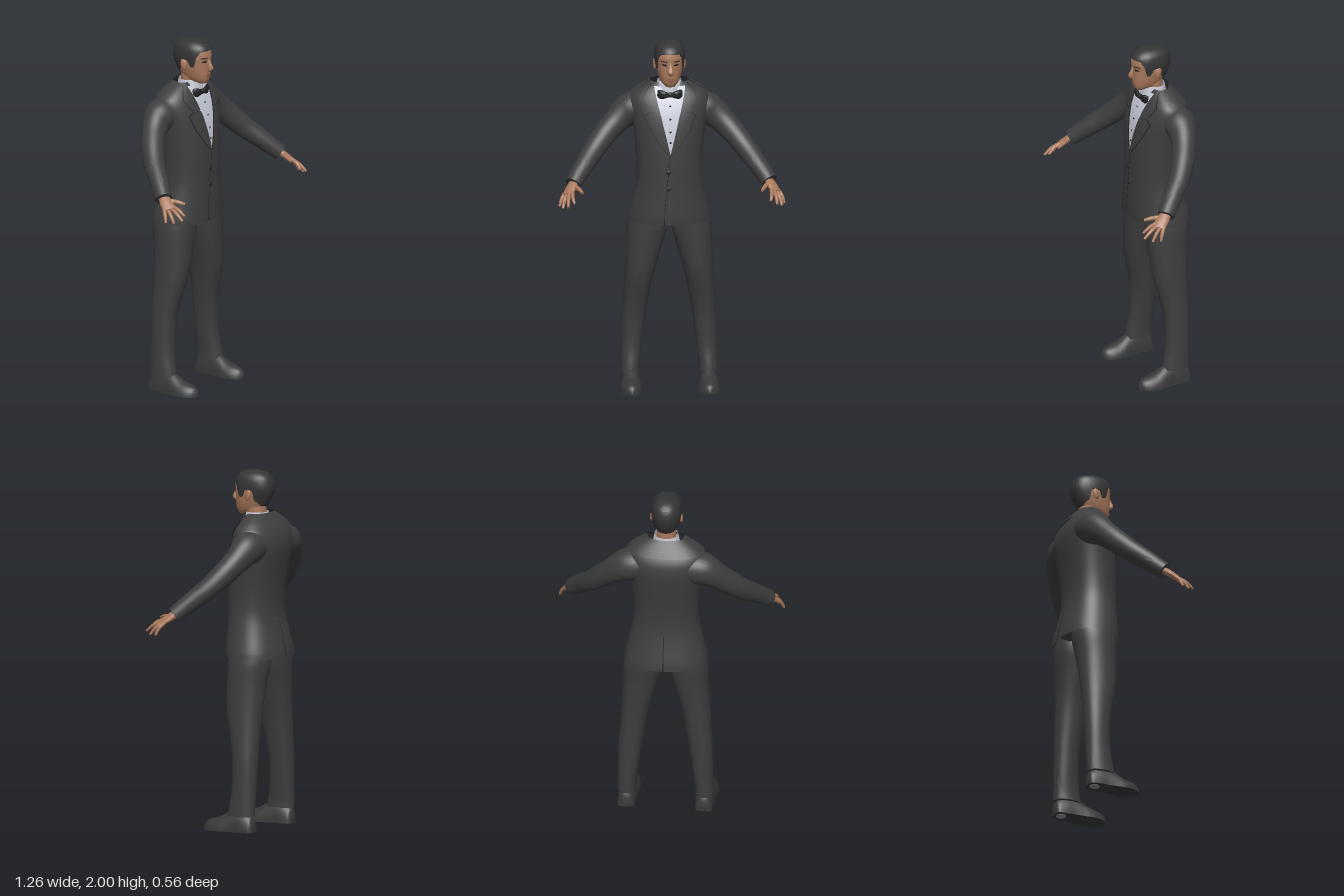
import * as THREE from 'three';
import { toCreasedNormals } from 'three/addons/utils/BufferGeometryUtils.js';

const V = (x, y, z) => new THREE.Vector3(x, y, z);
const mat = (name, color) => {
  const m = new THREE.MeshStandardMaterial({ color, side: THREE.DoubleSide });
  m.name = name;
  return m;
};
const M = {
  suit: mat('charcoal suit', 0x3e3e3e), shirt: mat('white shirt', 0xc6cad6), skin: mat('skin', 0xa9795c),
  hair: mat('dark hair', 0x343434), black: mat('black trim', 0x222222), lips: mat('lips', 0x875645),
  shoe: mat('shoe leather', 0x383838), heel: mat('heel grey', 0x8a8a8a),
};

function add(parent, name, geo, material) {
  const mesh = new THREE.Mesh(geo, material);
  mesh.name = name;
  parent.add(mesh);
  return mesh;
}

// Surface from fn(i, j): i runs around (nu steps), j runs along (nv steps)
function grid(fn, nu, nv, closed) {
  const pos = [], idx = [], w = closed ? nu : nu + 1;
  for (let j = 0; j <= nv; j++) for (let i = 0; i < w; i++) pos.push(...fn(i / nu, j).toArray());
  for (let j = 0; j < nv; j++) for (let i = 0; i < nu; i++) {
    const a = j * w + i, b = j * w + (i + 1) % w;
    idx.push(a, b, b + w, a, b + w, a + w);
  }
  const g = new THREE.BufferGeometry();
  g.setAttribute('position', new THREE.Float32BufferAttribute(pos, 3));
  g.setIndex(idx);
  return toCreasedNormals(g, 0.9);
}

// Smooth lookup in a table of rows [y, centreX, radiusX, zFront, zBack]
function at(rows, y) {
  let i = 0;
  while (i < rows.length - 2 && y > rows[i + 1][0]) i++;
  const p = rows[Math.max(0, i - 1)], a = rows[i], b = rows[i + 1], q = rows[Math.min(rows.length - 1, i + 2)];
  const h = b[0] - a[0], t = THREE.MathUtils.clamp((y - a[0]) / h, 0, 1), t2 = t * t, t3 = t2 * t;
  return a.map((v, k) => (2 * t3 - 3 * t2 + 1) * v + (3 * t2 - 2 * t3) * b[k]
    + (t3 - 2 * t2 + t) * h * (b[k] - p[k]) / (b[0] - p[0]) + (t3 - t2) * h * (q[k] - v) / (q[0] - a[0]));
}

function ringPoint(rows, y, th, n, off = 0) {
  const [, cx, rx, zf, zb] = at(rows, y), c = Math.cos(th), s = Math.sin(th);
  const f = v => Math.sign(v) * Math.abs(v) ** (2 / n);
  return V(cx + (rx + off) * f(c), y, (zf + zb) / 2 + ((zf - zb) / 2 + off) * f(s));
}

// Body skin through horizontal cross-sections, optionally capped
function loft(rows, { n = 2.2, seg = 48, sub = 4, cap = true, off = 0, from = 0, to = Math.PI * 2 } = {}) {
  const ys = [];
  rows.forEach((r, i) => {
    for (let k = 0; k < sub && i < rows.length - 1; k++) ys.push(r[0] + (rows[i + 1][0] - r[0]) * k / sub);
  });
  ys.push(rows.at(-1)[0]);
  const e = cap ? 1 : 0, last = ys.length - 1 + 2 * e;
  return grid((u, j) => {
    const y = ys[THREE.MathUtils.clamp(j - e, 0, ys.length - 1)];
    if (cap && (j === 0 || j === last)) { const r = at(rows, y); return V(r[1], y, (r[3] + r[4]) / 2); }
    return ringPoint(rows, y, from + (to - from) * u, n, off);
  }, seg, last, to - from > 6.28);
}

// Capped tube along sections [x, y, z, a, b]; a lies along the side vector
function sweep(secs, side, { seg = 24, sub = 4, floor = -1 } = {}) {
  const path = new THREE.CatmullRomCurve3(secs.map(s => V(s[0], s[1], s[2])), false, 'catmullrom');
  const size = new THREE.CatmullRomCurve3(secs.map(s => V(s[3], s[4], 0)), false, 'catmullrom');
  const N = (secs.length - 1) * sub;
  return grid((u, j) => {
    const k = THREE.MathUtils.clamp(j - 1, 0, N) / N, c = path.getPoint(k);
    if (j > 0 && j < N + 2) {
      const t = path.getTangent(k), r = size.getPoint(k);
      const a = side.clone().addScaledVector(t, -side.dot(t)).normalize(), b = t.clone().cross(a);
      c.addScaledVector(a, r.x * Math.cos(u * Math.PI * 2)).addScaledVector(b, r.y * Math.sin(u * Math.PI * 2));
    }
    c.y = Math.max(c.y, floor);
    return c;
  }, seg, N + 2, true);
}

// Thin panel laid on a loft: outline rows [y, xLeft, xRight], dir 1 = front, -1 = back
function panel(rows, n, outline, off, dir = 1) {
  const sub = 5, last = (outline.length - 1) * sub;
  return grid((u, j) => {
    const i = Math.min(Math.floor(j / sub), outline.length - 2), t = j / sub - i;
    const [y, x0, x1] = outline[i].map((v, k) => v + (outline[i + 1][k] - v) * t);
    const x = x0 + (x1 - x0) * u, [, cx, rx, zf, zb] = at(rows, y);
    const k = Math.min(1, Math.abs(x - cx) / rx);
    return V(x, y, (zf + zb) / 2 + dir * ((zf - zb) / 2 * (1 - k ** n) ** (1 / n) + off));
  }, 8, last, false);
}

const TORSO = [
  [0.965, 0, 0.232, 0.05, -0.278], [1.0, 0, 0.227, 0.052, -0.274], [1.1, 0, 0.203, 0.051, -0.25],
  [1.2, 0, 0.184, 0.05, -0.23], [1.3, 0, 0.182, 0.05, -0.23], [1.4, 0, 0.189, 0.046, -0.24],
  [1.5, 0, 0.2, 0.037, -0.256], [1.58, 0, 0.215, 0.022, -0.264], [1.64, 0, 0.222, 0.003, -0.255],
  [1.68, 0, 0.21, -0.014, -0.236], [1.71, 0, 0.178, -0.03, -0.212], [1.735, 0, 0.14, -0.045, -0.188],
  [1.758, 0, 0.1, -0.06, -0.166]];
const HEAD = [
  [1.752, 0, 0.026, 0.014, -0.03], [1.77, 0, 0.046, 0.026, -0.115], [1.8, 0, 0.06, 0.031, -0.145],
  [1.84, 0, 0.07, 0.033, -0.168], [1.88, 0, 0.076, 0.034, -0.184], [1.91, 0, 0.078, 0.036, -0.187],
  [1.94, 0, 0.075, 0.031, -0.181], [1.96, 0, 0.068, 0.022, -0.172], [1.98, 0, 0.05, -0.003, -0.147],
  [1.99, 0, 0.031, -0.029, -0.121], [1.994, 0, 0.016, -0.053, -0.097]];
const LEG = [
  [0.09, 0.217, 0.053, -0.038, -0.2], [0.13, 0.216, 0.053, -0.044, -0.2], [0.23, 0.209, 0.057, -0.06, -0.202],
  [0.39, 0.197, 0.065, -0.06, -0.205], [0.5, 0.185, 0.07, -0.043, -0.206], [0.655, 0.165, 0.081, -0.008, -0.21],
  [0.82, 0.138, 0.1, 0.003, -0.22], [0.96, 0.117, 0.114, 0.006, -0.234], [1.08, 0.105, 0.09, 0.0, -0.21]];
const TN = 2.3, HN = 2.2;

function makeJacket(root) {
  const jacket = new THREE.Group();
  jacket.name = 'jacket';
  root.add(jacket);
  add(jacket, 'jacketBody', loft(TORSO, { n: TN, seg: 64, cap: false }), M.suit);
  add(jacket, 'jacketCollar', loft(TORSO.slice(-4).map(r => [r[0] + 0.008, ...r.slice(1)]),
    { n: TN, cap: false, off: 0.007, from: Math.PI * 0.95, to: Math.PI * 2.05 }), M.suit);
  add(jacket, 'shirtFront', panel(TORSO, TN, [[1.37, -0.002, 0.002], [1.7, -0.08, 0.08], [1.74, -0.088, 0.088]], 0.003), M.shirt);
  const collar = [[1.612, 0.058, 0.108], [1.63, 0.063, 0.124], [1.68, 0.075, 0.148], [1.72, 0.083, 0.124], [1.752, 0.088, 0.098]];
  const lapel = [[1.365, -0.001, 0.004], [1.42, 0.012, 0.052], [1.5, 0.031, 0.104], [1.585, 0.051, 0.14], [1.606, 0.057, 0.112]];
  for (const s of [-1, 1]) {
    const flip = (o, grow) => o.map(([y, a, b]) => s > 0 ? [y, a, b + grow] : [y, -b - grow, -a]);
    for (const [name, shape] of [['collarLeaf', collar], ['lapel', lapel]]) {
      add(jacket, name, panel(TORSO, TN, flip(shape, 0), 0.009), M.suit);
      add(jacket, name + 'Edge', panel(TORSO, TN, flip(shape, 0.004), 0.005), M.black);
    }
  }
  // Closing edge, back vent, buttons and shirt studs
  add(jacket, 'frontEdge', panel(TORSO, TN, [[0.967, -0.036, -0.032], [1.05, -0.034, -0.03], [1.37, -0.002, 0.002]], 0.002), M.black);
  add(jacket, 'backVent', panel(TORSO, TN, [[0.967, -0.004, 0.004], [1.17, -0.002, 0.002]], 0.002, -1), M.black);
  const dots = [[1.27, -0.012, 0.012, M.black], [1.175, -0.012, 0.012, M.black],
    ...[1.64, 1.57, 1.5, 1.44].map(y => [y, 0, 0.006, M.black])];
  for (const [y, x, r, m] of dots) {
    const b = add(jacket, r > 0.01 ? 'jacketButton' : 'shirtStud', new THREE.SphereGeometry(r, 14, 10), m);
    b.position.set(x, y, at(TORSO, y)[3] + 0.003);
    b.scale.z = 0.4;
  }
}

function makeHead(root) {
  const head = new THREE.Group();
  head.name = 'head';
  root.add(head);
  add(head, 'face', loft(HEAD, { n: HN }), M.skin);
  add(head, 'neck', sweep([[0, 1.7, -0.092, 0.056, 0.056], [0, 1.76, -0.09, 0.054, 0.056], [0, 1.83, -0.085, 0.055, 0.06]], V(1, 0, 0)), M.skin);
  // Hair: shell from a hairline [angle from the front, y] up to the crown
  const line = [[0, 1.945], [38, 1.942], [54, 1.915], [62, 1.855], [74, 1.85], [82, 1.892], [102, 1.892], [114, 1.835], [150, 1.803], [181, 1.798]];
  const hairline = d => {
    const i = line.findIndex(p => p[0] > d), [a, ya] = line[i - 1], [b, yb] = line[i];
    return ya + (yb - ya) * (d - a) / (b - a);
  };
  const H = 22;
  add(head, 'hair', grid((u, j) => {
    if (j === H + 2) return V(0, 2, -0.075);
    const deg = u * 360, low = hairline(Math.min(deg, 360 - deg)), t = Math.max(0, j - 1) / H;
    const y = 1.994 - (1.994 - low) * (1 - t) ** 1.6;
    const p = ringPoint(HEAD, y, Math.PI / 2 + u * Math.PI * 2, HN, j ? 0.007 : -0.003);
    p.y += 0.005 * t;
    return p;
  }, 96, H + 2, true), M.hair);
  add(head, 'nose', sweep([[0, 1.9, 0.026, 0.008, 0.008], [0, 1.868, 0.038, 0.01, 0.01],
    [0, 1.843, 0.047, 0.016, 0.013], [0, 1.828, 0.034, 0.013, 0.009]], V(1, 0, 0), { seg: 16 }), M.skin);
  add(head, 'upperLip', panel(HEAD, HN, [[1.797, -0.024, 0.024], [1.804, -0.012, 0.012]], 0.004), M.lips);
  add(head, 'lowerLip', panel(HEAD, HN, [[1.785, -0.012, 0.012], [1.795, -0.022, 0.022]], 0.005), M.lips);
  for (const s of [-1, 1]) {
    const span = (a, b) => s > 0 ? [a, b] : [-b, -a];
    add(head, 'eyebrow', panel(HEAD, HN, [[1.9, ...span(0.015, 0.054)], [1.908, ...span(0.02, 0.05)]], 0.003), M.hair);
    add(head, 'eye', panel(HEAD, HN, [[1.878, ...span(0.026, 0.04)], [1.884, ...span(0.018, 0.048)], [1.889, ...span(0.025, 0.042)]], 0.002), M.black);
    const ear = add(head, 'ear', new THREE.SphereGeometry(1, 16, 12), M.skin);
    ear.scale.set(0.01, 0.032, 0.019);
    ear.position.set(s * 0.081, 1.865, -0.08);
    ear.rotation.set(-0.15, s * -0.3, 0);
  }
  // Shirt collar and bow tie
  add(root, 'shirtCollar', loft([[1.69, 0, 0.082, -0.022, -0.168], [1.73, 0, 0.073, -0.026, -0.164], [1.768, 0, 0.066, -0.036, -0.158]],
    { n: 2, cap: false }), M.shirt);
  const bow = new THREE.Group();
  bow.name = 'bowTie';
  bow.position.set(0, 1.7, -0.012);
  root.add(bow);
  add(bow, 'bowKnot', new THREE.SphereGeometry(0.014, 16, 12), M.black).scale.set(0.9, 1.1, 0.9);
  for (const s of [-1, 1]) add(bow, 'bowWing', sweep([[0, 0, 0, 0.01, 0.008], [s * 0.025, 0, 0, 0.019, 0.011],
    [s * 0.05, 0.001, -0.006, 0.027, 0.011], [s * 0.068, 0.002, -0.015, 0.023, 0.006]], V(0, 1, 0)), M.black);
}

// Arm, hand, leg and shoe of the model's left side
function makeLimbs() {
  const g = new THREE.Group();
  add(g, 'sleeve', sweep([[0.12, 1.6, -0.15, 0.085, 0.09], [0.2, 1.585, -0.15, 0.094, 0.092], [0.25, 1.558, -0.144, 0.084, 0.08],
    [0.3, 1.515, -0.125, 0.072, 0.07], [0.36, 1.455, -0.088, 0.066, 0.066], [0.425, 1.38, -0.03, 0.06, 0.06],
    [0.48, 1.315, 0.04, 0.054, 0.054], [0.545, 1.235, 0.12, 0.046, 0.048]], V(0.6, 0.8, 0), { seg: 32 }), M.suit);
  const hand = new THREE.Group();
  hand.name = 'hand';
  g.add(hand);
  const across = V(0.744, -0.248, -0.62);
  add(hand, 'palm', sweep([[0.535, 1.247, 0.108, 0.028, 0.022], [0.558, 1.218, 0.15, 0.036, 0.018], [0.58, 1.19, 0.187, 0.036, 0.012]], across), M.skin);
  const tips = [[0.545, 1.16, 0.265], [0.58, 1.142, 0.277], [0.607, 1.127, 0.238], [0.624, 1.127, 0.195]];
  tips.forEach(([x, y, z], i) => {
    const b = V(0.572, 1.198, 0.176).addScaledVector(across, -0.027 + 0.018 * i);
    add(hand, 'finger', sweep([[b.x, b.y, b.z, 0.011, 0.011], [(b.x + x) / 2 + 0.003, (b.y + y) / 2 + 0.006, (b.z + z) / 2 + 0.003, 0.0105, 0.0105],
      [x, y, z, 0.007, 0.007]], across, { seg: 12 }), M.skin);
  });
  add(hand, 'thumb', sweep([[0.54, 1.228, 0.14, 0.014, 0.014], [0.514, 1.222, 0.195, 0.012, 0.012], [0.498, 1.212, 0.233, 0.008, 0.008]],
    across, { seg: 12 }), M.skin);
  add(g, 'trouserLeg', loft(LEG, { n: 2.2, seg: 40 }), M.suit);
  // Shoe sections from heel to toe [z, half width, height], flattened at the sole
  const shoe = [[-0.2, 0.03, 0.06], [-0.185, 0.046, 0.09], [-0.14, 0.052, 0.115], [-0.09, 0.053, 0.122],
    [-0.04, 0.058, 0.108], [0.01, 0.064, 0.08], [0.06, 0.057, 0.066], [0.095, 0.038, 0.052], [0.113, 0.014, 0.03]];
  add(g, 'shoe', sweep(shoe.map(([z, w, h]) => [0.216, 0, z, w, h]), V(1, 0, 0), { seg: 32, floor: 0.003 }), M.shoe);
  const heel = add(g, 'heelPlate', new THREE.CylinderGeometry(0.028, 0.028, 0.003, 20), M.heel);
  heel.position.set(0.216, 0.0015, -0.155);
  return g;
}

export function createModel() {
  const root = new THREE.Group();
  root.name = 'suitedMan';
  makeJacket(root);
  makeHead(root);
  add(root, 'trouserSeat', loft([[0.985, 0, 0.12, -0.03, -0.2], [1.02, 0, 0.2, 0.0, -0.23], [1.13, 0, 0.17, 0.0, -0.2]]), M.suit);
  const left = makeLimbs(), right = left.clone();
  left.name = 'leftLimbs';
  right.name = 'rightLimbs';
  right.scale.x = -1;
  root.add(left, right);
  return root;
}
